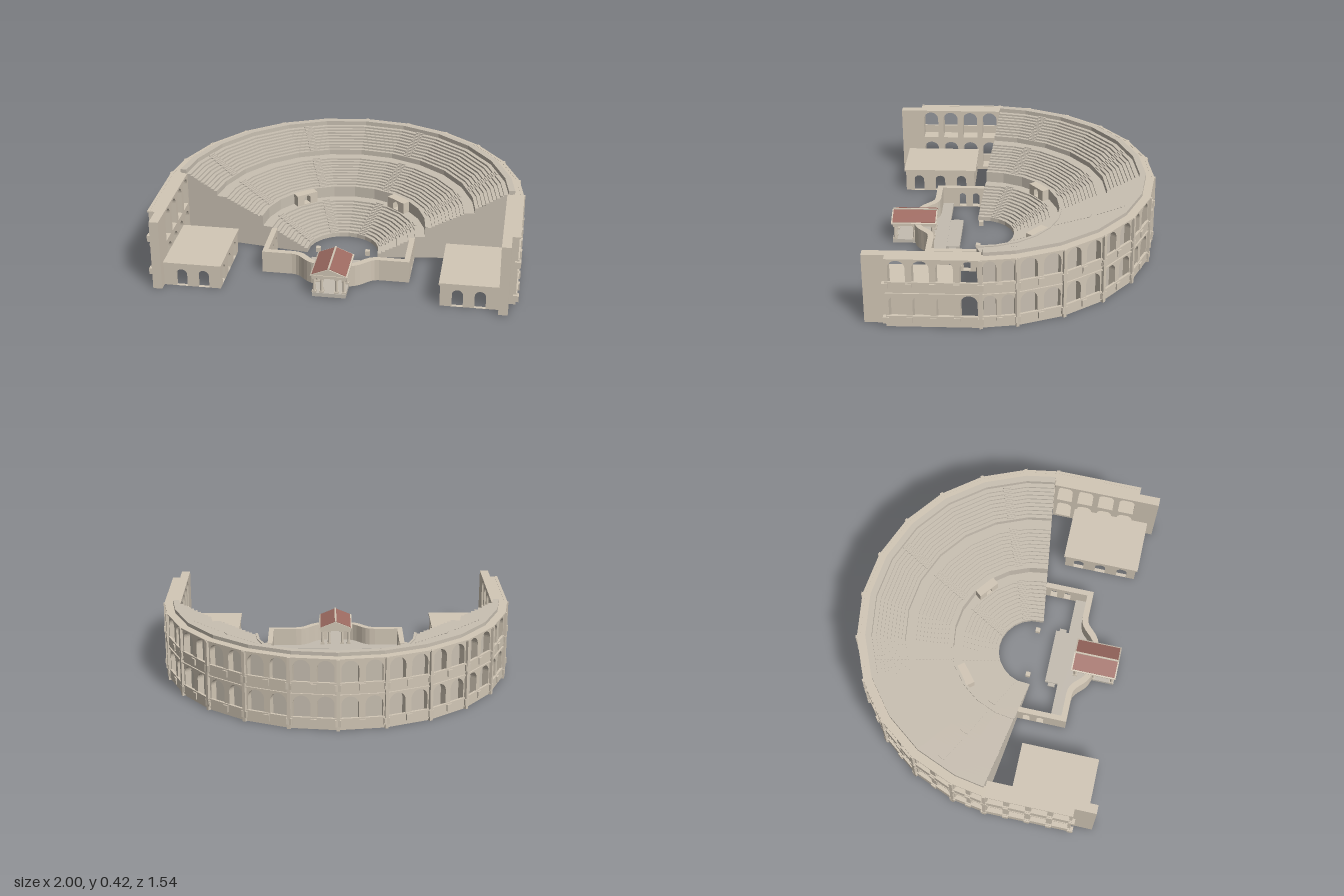
import * as THREE from 'three';

const mat = (color, extra = {}) => new THREE.MeshStandardMaterial({ color, flatShading: true, ...extra });
const stone = mat(0xd2c7b6);
const seatStone = mat(0xc9c0b2, { side: THREE.DoubleSide });
const floorStone = mat(0xc4bdb1);
const tile = mat(0x9e6b62);
const CZ = 0.23; // centre of the half circle
const STEP = Math.PI / 12; // one facet

function add(parent, name, geometry, material = stone, x = 0, y = 0, z = 0) {
  const mesh = new THREE.Mesh(geometry, material);
  mesh.name = name;
  mesh.position.set(x, y, z);
  parent.add(mesh);
  return mesh;
}

// box standing on y
function box(parent, name, w, h, d, x, y, z, material = stone) {
  return add(parent, name, new THREE.BoxGeometry(w, h, d), material, x, y + h / 2, z);
}

// flat wall with arched openings; arches are [centre x, base y, width, top y]
function archedWall(w, h, d, arches) {
  const s = new THREE.Shape([[-w / 2, 0], [w / 2, 0], [w / 2, h], [-w / 2, h]].map(p => new THREE.Vector2(...p)));
  for (const [x, y, aw, top] of arches) {
    const r = aw / 2, hole = new THREE.Path();
    hole.moveTo(x - r, y);
    hole.lineTo(x - r, top - r);
    hole.absarc(x, top - r, r, Math.PI, 0, true);
    hole.lineTo(x + r, y);
    hole.closePath();
    s.holes.push(hole);
  }
  return new THREE.ExtrudeGeometry(s, { depth: d, bevelEnabled: false, curveSegments: 8 });
}

// plan outline in x, z raised to a height
function slab(shape, h) {
  return new THREE.ExtrudeGeometry(shape, { depth: h, bevelEnabled: false, curveSegments: 8 })
    .rotateX(Math.PI / 2).translate(0, h, 0);
}

// the seating stops on a slightly slanted line instead of a true radius
const endAngle = r => Math.acos(-0.0485 / r) - 0.1363;
const polar = (r, y, a) => [r * Math.sin(a), y, CZ - r * Math.cos(a)];

// sweep a section of [radius, height] points round the facets and close both ends
function sweep(parent, name, section, closing) {
  const at = ([r, y], k) => polar(r, y, Math.abs(k) === 6 ? Math.sign(k) * endAngle(r) : k * STEP);
  const v = [];
  for (let k = -6; k < 6; k++) {
    for (let i = 0; i < section.length - 1; i++) {
      const p = section[i], q = section[i + 1];
      v.push(...at(p, k), ...at(p, k + 1), ...at(q, k + 1), ...at(p, k), ...at(q, k + 1), ...at(q, k));
    }
  }
  const g = new THREE.BufferGeometry();
  g.setAttribute('position', new THREE.Float32BufferAttribute(v, 3));
  g.computeVertexNormals();
  add(parent, name, g, seatStone);
  const outline = [...section, ...closing].map(([r, y]) => new THREE.Vector2(r * Math.sin(endAngle(r)), y));
  const cap = new THREE.ShapeGeometry(new THREE.Shape(outline));
  const pos = cap.attributes.position;
  for (let i = 0; i < pos.count; i++) pos.setZ(i, 0.279 - 0.137 * pos.getX(i));
  cap.computeVertexNormals();
  for (const s of [1, -1]) add(parent, name + 'End', cap, seatStone).scale.x = s;
}

function seating(parent) {
  const g = new THREE.Group();
  g.name = 'seating';
  parent.add(g);
  const tiers = [[0.2, 0.015, 0.425, 0.13, 11], [0.475, 0.18, 0.69, 0.28, 11], [0.73, 0.3, 0.905, 0.395, 9]];
  const section = [[0.2, 0]];
  tiers.forEach(([r0, y0, r1, y1, n], t) => {
    const dr = (r1 - r0) / n, dy = (y1 - y0) / n;
    for (let i = 0; i < n; i++) {
      const y = y0 + (i + 1) * dy;
      section.push([r0 + i * dr, y], [r0 + (i + 1) * dr, y]);
      // half steps of the aisles
      for (const a of [-4.5, -1.5, 1.5, 4.5]) {
        const r = (r0 + (i + 0.72) * dr) * Math.cos(STEP / 2);
        const [x, , z] = polar(r, 0, a * STEP);
        box(g, 'aisleStep', 0.045, dy * 0.6, dr * 0.6, x, y, z, seatStone).rotation.y = -a * STEP;
      }
    }
    // podium wall with parapet, then the upper walkway
    if (t === 0) section.push([0.46, 0.13], [0.46, 0.195], [0.475, 0.195], [0.475, 0.18]);
    if (t === 1) section.push([0.73, 0.28], [0.73, 0.3]);
  });
  section.push([0.915, 0.395]);
  sweep(g, 'seatRows', section, [[0.915, 0]]);
  sweep(g, 'backWall', [[0.91, 0], [0.91, 0.42], [0.945, 0.42], [0.945, 0], [0.91, 0]], []);
  // entrances on the lower walkway
  for (const s of [1, -1]) {
    const a = s * 0.68, [x, , z] = polar(0.46, 0, a);
    const door = add(g, 'entrance', archedWall(0.13, 0.065, 0.05, [[0, 0.004, 0.04, 0.055]]), stone, x, 0.13, z);
    door.rotation.y = -a;
  }
}

// one arcaded stretch from a to b, two storeys high
function bay(parent, a, b, n, depth) {
  const len = Math.hypot(b[0] - a[0], b[1] - a[1]), pitch = len / n;
  const g = new THREE.Group();
  g.name = 'arcadeBay';
  g.position.set((a[0] + b[0]) / 2, 0, (a[1] + b[1]) / 2);
  g.rotation.y = Math.atan2(a[1] - b[1], b[0] - a[0]);
  parent.add(g);
  const arches = [];
  for (const y of [0, 0.2]) {
    for (let i = 0; i < n; i++) {
      arches.push([(i + 0.5) * pitch - len / 2, y + 0.02, Math.min(0.095, pitch * 0.73), y + 0.188]);
    }
    box(g, 'balustrade', len, 0.052, 0.014, 0, y + 0.015, 0);
    box(g, 'stringCourse', len, 0.008, 0.016, 0, y + 0.195 - 0.002, 0);
    for (let i = 0; i <= n; i++) box(g, 'pedestal', 0.032, 0.036, 0.03, i * pitch - len / 2, y + 0.024, 0);
  }
  add(g, 'arcadeWall', archedWall(len, 0.4, depth, arches), stone, 0, 0, -depth);
}

function facade(parent) {
  const g = new THREE.Group();
  g.name = 'facade';
  parent.add(g);
  const R = 0.985, end = 86 * Math.PI / 180;
  const angles = [end];
  for (let k = 5; k >= -5; k--) angles.push(k * STEP);
  angles.push(-end);
  const pts = angles.map(a => { const [x, , z] = polar(R, 0, a); return [x, z]; });
  for (let i = 0; i < pts.length - 1; i++) bay(g, pts[i], pts[i + 1], 2, 0.05);
  angles.forEach((a, i) => {
    box(g, 'pilaster', 0.018, 0.4, 0.03, pts[i][0], 0, pts[i][1]).rotation.y = -a;
  });
  // straight wings
  bay(g, [R, 0.65], [R, 0.16], 4, 0.085);
  bay(g, [-R, 0.16], [-R, 0.65], 4, 0.085);
  for (const s of [1, -1]) box(g, 'endPier', 0.05, 0.4, 0.12, s * 0.925, 0, 0.71);
}

function sideHall(parent, s) {
  const g = new THREE.Group();
  g.name = 'sideHall';
  g.position.set(s * 0.742, 0, 0.51);
  parent.add(g);
  add(g, 'hallFront', archedWall(0.305, 0.13, 0.02, [[-0.06, 0, 0.06, 0.1], [0.06, 0, 0.06, 0.1]]), stone, 0, 0, 0.19);
  const side = add(g, 'hallSide', archedWall(0.42, 0.13, 0.02, [-0.13, 0, 0.13].map(x => [x, 0, 0.06, 0.1])), stone, -s * 0.1525, 0, 0);
  side.rotation.y = -s * Math.PI / 2;
  side.position.x += s * 0.02;
  box(g, 'hallBack', 0.305, 0.13, 0.02, 0, 0, -0.2);
  box(g, 'hallOuterWall', 0.015, 0.13, 0.42, s * 0.15, 0, 0);
  box(g, 'hallRoof', 0.318, 0.012, 0.44, 0, 0.128, 0);
}

function stage(parent) {
  const g = new THREE.Group();
  g.name = 'stage';
  parent.add(g);
  // stage floor
  const f = new THREE.Shape();
  f.moveTo(-0.4, 0.41);
  f.lineTo(0.4, 0.41);
  f.lineTo(0.4, 0.49);
  f.lineTo(0.24, 0.49);
  f.bezierCurveTo(0.17, 0.49, 0.17, 0.59, 0.09, 0.59);
  f.lineTo(0.09, 0.725);
  f.lineTo(-0.09, 0.725);
  f.lineTo(-0.09, 0.59);
  f.bezierCurveTo(-0.17, 0.59, -0.17, 0.49, -0.24, 0.49);
  f.lineTo(-0.4, 0.49);
  add(g, 'stageFloor', slab(f, 0.022), floorStone);
  box(g, 'stageApron', 0.32, 0.02, 0.08, 0, 0, 0.375, floorStone);
  box(g, 'apronStep', 0.36, 0.012, 0.04, 0, 0, 0.375, floorStone);
  // curved stage wall, one half mirrored
  const w = new THREE.Shape();
  w.moveTo(0.405, 0.4);
  w.lineTo(0.405, 0.505);
  w.lineTo(0.24, 0.505);
  w.bezierCurveTo(0.17, 0.505, 0.17, 0.6, 0.05, 0.6);
  w.lineTo(0.05, 0.57);
  w.bezierCurveTo(0.15, 0.57, 0.14, 0.472, 0.24, 0.472);
  w.lineTo(0.375, 0.472);
  w.lineTo(0.375, 0.4);
  const half = slab(w, 0.125);
  for (const s of [1, -1]) {
    add(g, 'stageWall', half).scale.x = s;
    // side wall with two doorways
    const doors = [[-0.04, 0.005, 0.04, 0.09], [0.04, 0.005, 0.04, 0.09]];
    const side = add(g, 'stageSideWall', archedWall(0.18, 0.125, 0.03, doors), stone, s * 0.39 - 0.015, 0, 0.315);
    side.rotation.y = Math.PI / 2;
    box(g, 'altar', 0.026, 0.028, 0.026, s * 0.14, 0, 0.23);
  }
}

function porch(parent) {
  const g = new THREE.Group();
  g.name = 'porch';
  g.position.z = 0.6;
  parent.add(g);
  const shaft = new THREE.CylinderGeometry(0.007, 0.009, 0.085, 10);
  for (const [x, z] of [[0.08, 0.11], [0.04, 0.11], [0.08, 0], [0.08, -0.105], [0.04, -0.105]]) {
    for (const s of [1, -1]) {
      add(g, 'column', shaft, stone, s * x, 0.066, z);
      box(g, 'columnBase', 0.024, 0.01, 0.024, s * x, 0.022, z);
      box(g, 'capital', 0.022, 0.008, 0.022, s * x, 0.102, z);
    }
  }
  box(g, 'entablature', 0.185, 0.015, 0.245, 0, 0.11, 0);
  const gable = (pts, d) => new THREE.ExtrudeGeometry(
    new THREE.Shape(pts.map(p => new THREE.Vector2(...p))), { depth: d, bevelEnabled: false }).translate(0, 0, -d / 2);
  add(g, 'pediment', gable([[-0.09, 0.125], [0.09, 0.125], [0, 0.163]], 0.235));
  add(g, 'roofEdge', gable([[-0.1, 0.123], [0, 0.164], [0.1, 0.123], [0.1, 0.129], [0, 0.17], [-0.1, 0.129]], 0.26));
  add(g, 'roofTiles', gable([[-0.092, 0.13], [0, 0.168], [0.092, 0.13], [0.092, 0.135], [0, 0.173], [-0.092, 0.135]], 0.245), tile);
  box(g, 'roofRidge', 0.01, 0.008, 0.25, 0, 0.168, 0);
}

export function createModel() {
  const model = new THREE.Group();
  model.name = 'romanTheatre';
  seating(model);
  facade(model);
  for (const s of [1, -1]) sideHall(model, s);
  stage(model);
  porch(model);
  return model;
}
